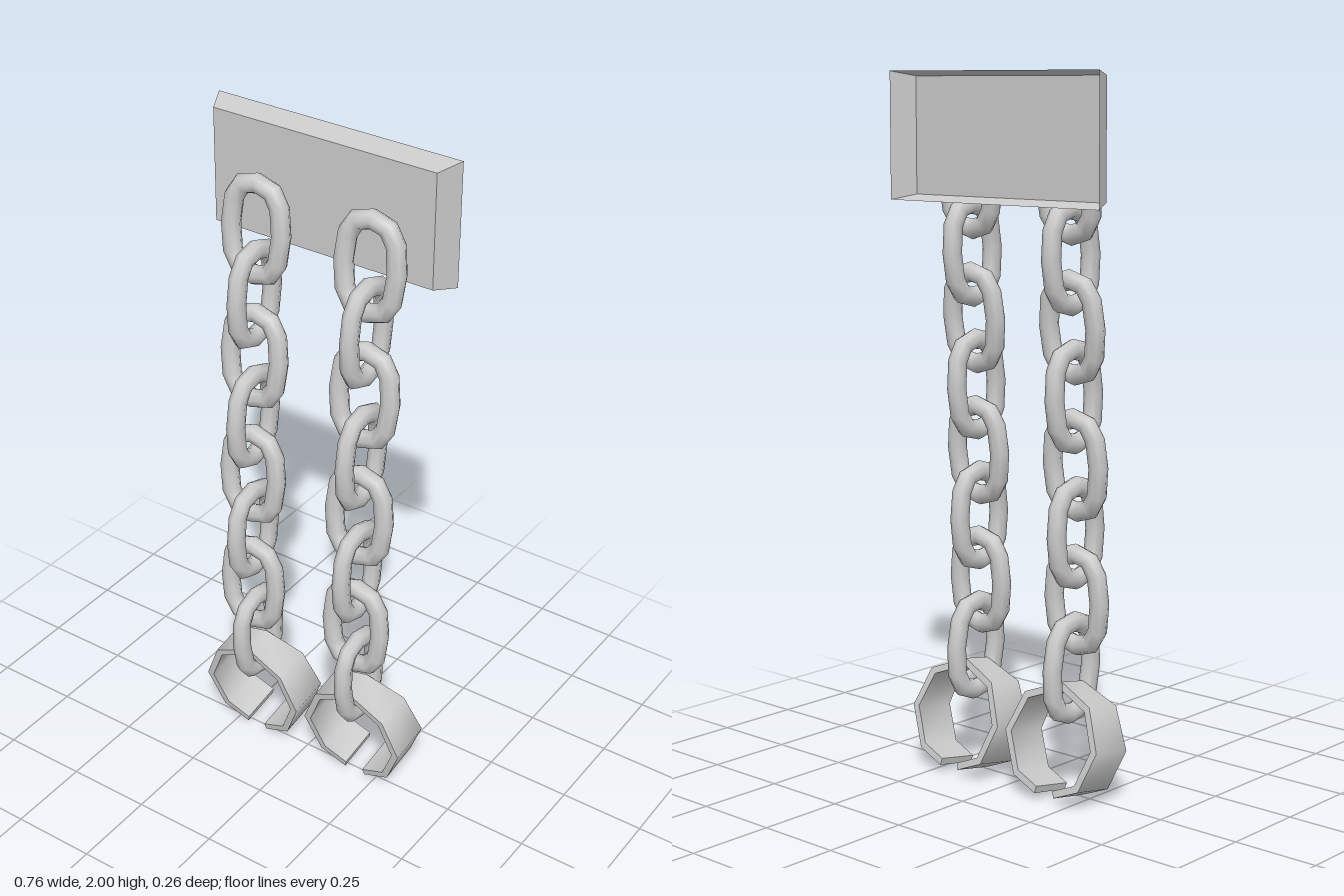
import * as THREE from 'three';
import { mergeVertices, toCreasedNormals } from 'three/addons/utils/BufferGeometryUtils.js';

const grey = new THREE.MeshStandardMaterial({ color: 0xcccccc });
const greyDouble = new THREE.MeshStandardMaterial({ color: 0xcccccc, side: THREE.DoubleSide });

// Runs a rule over every vertex of a geometry
function reshape(geo, rule) {
  const p = geo.attributes.position;
  const v = new THREE.Vector3();
  for (let i = 0; i < p.count; i++) {
    rule(v.fromBufferAttribute(p, i));
    p.setXYZ(i, v.x, v.y, v.z);
  }
  return geo;
}

// Wall plate: shallow tapered box, open at the back
function plateGeometry() {
  const geo = new THREE.BoxGeometry(2, 2, 2);
  geo.setIndex(Array.from(geo.index.array).slice(0, 30));
  geo.clearGroups();
  reshape(geo, v => {
    const front = v.z > 0;
    v.set(v.x * (front ? 0.345 : 0.378), 1.822 + v.y * (front ? 0.164 : 0.178), front ? -0.06 : -0.13);
  });
  geo.computeVertexNormals();
  return geo;
}

// Chain link: a torus reshaped to a tall rounded loop
function linkGeometry() {
  const a = 0.082, b = 0.131, e = 0.77;
  const pow = (x, k) => Math.sign(x) * Math.pow(Math.abs(x), k);
  let geo = new THREE.TorusGeometry(1, 0.3, 8, 12);
  geo.deleteAttribute('uv');
  geo.deleteAttribute('normal');
  reshape(geo, v => {
    const r = Math.hypot(v.x, v.y);
    const c = v.x / r, s = v.y / r;
    const n = new THREE.Vector2(pow(c, 2 - e) / a, pow(s, 2 - e) / b).normalize();
    const d = (r - 1) / 0.3 * 0.029;
    v.set(a * pow(c, e) + n.x * d, b * pow(s, e) + n.y * d, v.z / 0.3 * 0.025);
  });
  geo = mergeVertices(geo, 1e-5);
  geo.computeVertexNormals();
  return geo;
}

// Cuff: octagonal band with a gap below, narrower at the top
function cuffGeometry() {
  const R = 0.166;
  const outer = [new THREE.Vector2(0.034, -0.152)];
  for (let i = -1; i <= 5; i++) {
    const t = i * Math.PI / 4;
    outer.push(new THREE.Vector2(R * Math.cos(t), R * Math.sin(t)));
  }
  outer.push(new THREE.Vector2(-0.034, -0.152));
  const inner = outer.map(p => p.clone().multiplyScalar(0.87)).reverse();
  const geo = new THREE.ExtrudeGeometry(new THREE.Shape([...outer, ...inner]), { depth: 2, bevelEnabled: false });
  geo.translate(0, 0, -1);
  reshape(geo, v => {
    const up = Math.max(0, v.y / Math.hypot(v.x, v.y));
    v.z *= 0.066 - 0.02 * up ** 3;
  });
  return toCreasedNormals(geo, 0.9);
}

// Each link from the top down: [z, tilt]
const LINKS = [
  [-0.018, -0.077], [-0.007, -0.05], [-0.002, -0.08], [0.008, -0.05],
  [0.014, -0.06], [0.018, -0.01], [0.022, -0.03], [0.002, 0.08],
];

export function createModel() {
  const model = new THREE.Group();
  model.name = 'wallShackles';

  const plate = new THREE.Mesh(plateGeometry(), greyDouble);
  plate.name = 'wallPlate';
  model.add(plate);

  const linkGeo = linkGeometry();
  const cuffGeo = cuffGeometry();

  for (const side of [1, -1]) {
    const chain = new THREE.Group();
    chain.name = side > 0 ? 'leftChain' : 'rightChain';
    chain.position.x = side * 0.181;

    // Links alternate between facing front and facing sideways
    LINKS.forEach(([z, tilt], i) => {
      const link = new THREE.Mesh(linkGeo, grey);
      link.name = 'chainLink' + (i + 1);
      link.position.set(0, 1.695 - i * 0.19, z);
      link.rotation.set(tilt, i % 2 ? Math.PI / 2 : 0, 0);
      chain.add(link);
    });

    const cuff = new THREE.Mesh(cuffGeo, grey);
    cuff.name = 'cuff';
    cuff.position.set(0, 0.162, -0.024);
    cuff.rotation.x = 0.175;
    chain.add(cuff);

    model.add(chain);
  }
  return model;
}
